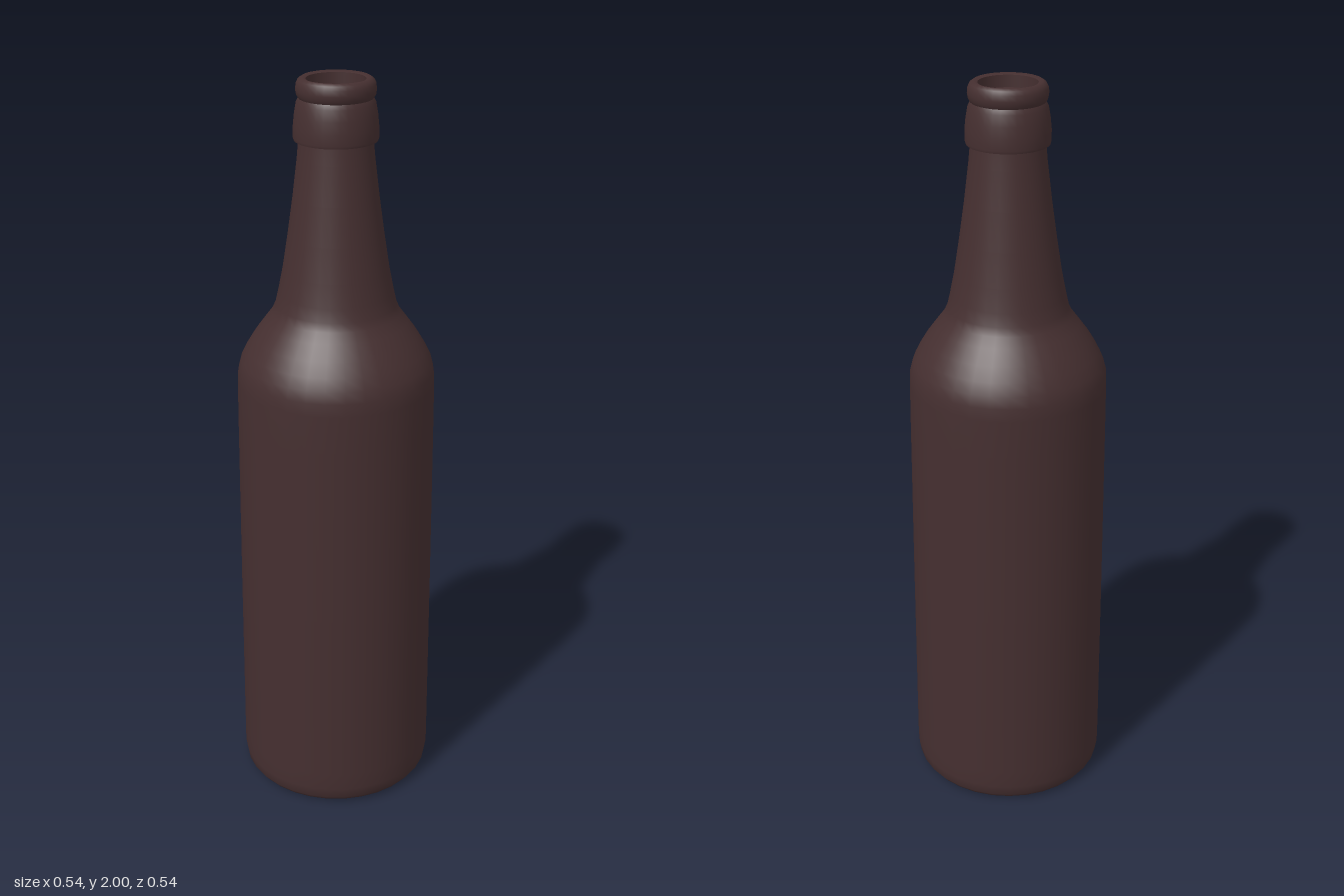
import * as THREE from 'three';

const SEGMENTS = 32;

export function createModel() {
  const bottle = new THREE.Group();
  bottle.name = 'bottle';
  const glass = new THREE.MeshStandardMaterial({ color: 0x452f30 });
  glass.name = 'dark brown glass';

  // Each part is a turned profile of [radius, height], smooth within itself
  const turn = (name, profile) => {
    const points = profile.map(([r, y]) => new THREE.Vector2(r, y));
    const mesh = new THREE.Mesh(new THREE.LatheGeometry(points, SEGMENTS), glass);
    mesh.name = name;
    bottle.add(mesh);
  };

  // Flat underside
  turn('base', [[0, 0], [0.235, 0]]);

  // Rounded heel, body, shoulder and tapering neck
  turn('body', [
    [0.235, 0], [0.252, 0.006], [0.263, 0.02], [0.268, 0.05], [0.268, 0.1],
    [0.266, 0.6], [0.263, 1.1], [0.262, 1.2], [0.26, 1.235], [0.252, 1.265],
    [0.237, 1.295], [0.216, 1.33], [0.188, 1.368], [0.169, 1.393],
    [0.159, 1.415], [0.151, 1.45], [0.139, 1.51], [0.125, 1.6],
    [0.111, 1.7], [0.099, 1.8], [0.095, 1.845],
  ]);

  // Collar with a flat underside
  turn('collarUnderside', [[0.094, 1.845], [0.106, 1.845]]);
  turn('collar', [
    [0.106, 1.845], [0.108, 1.852], [0.108, 1.88], [0.105, 1.91],
    [0.1, 1.938], [0.094, 1.95],
  ]);

  // Rounded lip around the mouth
  turn('lip', [
    [0.094, 1.95], [0.099, 1.958], [0.101, 1.97], [0.1, 1.984],
    [0.095, 1.994], [0.086, 2], [0.075, 1.996],
  ]);

  // Recessed mouth
  turn('mouthWall', [[0.075, 1.996], [0.075, 1.965]]);
  turn('mouthFloor', [[0.075, 1.965], [0, 1.965]]);

  return bottle;
}
